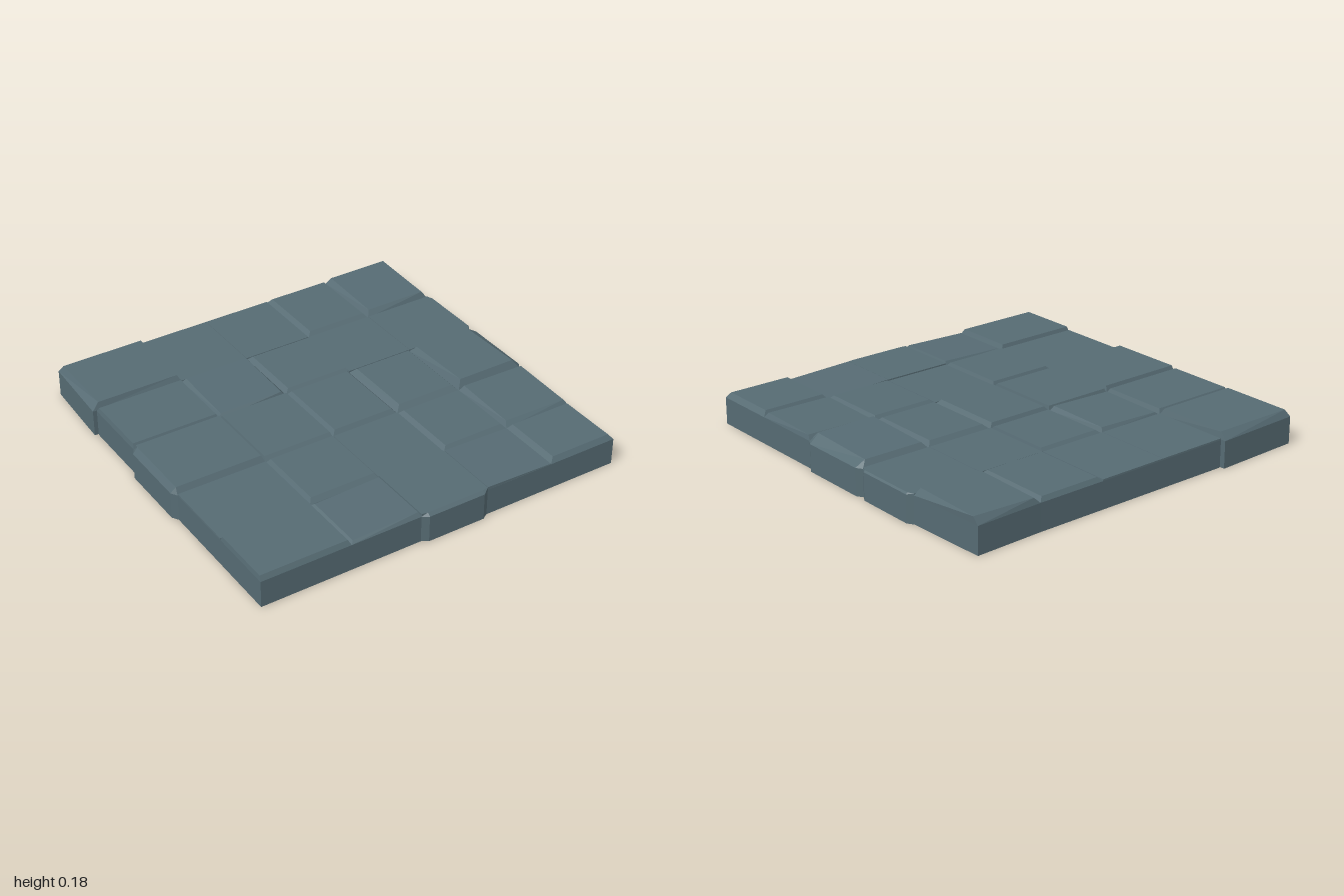
import * as THREE from 'three';

const SHOULDER = 0.14;
const xs = [-0.98, -0.51, -0.135, 0.235, 0.602, 0.977];
const zs = [-0.975, -0.562, -0.183, 0.243, 0.63, 0.975];

// Joins stacked rings of [x, y, z] points into a closed flat-shaded solid
function loft(rings) {
  const pos = [];
  const tri = (a, b, c) => pos.push(...a, ...b, ...c);
  const n = rings[0].length;
  for (let k = 0; k + 1 < rings.length; k++) {
    const lo = rings[k], hi = rings[k + 1];
    for (let i = 0; i < n; i++) {
      const j = (i + 1) % n;
      tri(lo[i], lo[j], hi[j]);
      tri(lo[i], hi[j], hi[i]);
    }
  }
  const top = rings[rings.length - 1], low = rings[0];
  for (let i = 1; i + 1 < n; i++) {
    tri(top[0], top[i], top[i + 1]);
    tri(low[0], low[i + 1], low[i]);
  }
  const g = new THREE.BufferGeometry();
  g.setAttribute('position', new THREE.Float32BufferAttribute(pos, 3));
  g.computeVertexNormals();
  return g;
}

// Stone settings: h height, i insets [left, right, back, front],
// sx/sz slope of the top, turn twist of the top, bulge outer side, outline custom corners
const flat = (o = {}) => ({ h: 0.148, i: [0.001, 0.001, 0.001, 0.001], ...o });
const raised = (h, i, o = {}) => ({ h, i, ...o });

const stones = [
  [ // back row
    raised(0.175, [0.02, 0.013, 0.015, 0.02], {
      outline: [[-0.98, -0.98], [-0.998, -0.568], [-0.51, -0.562], [-0.515, -0.998]] }),
    flat(), flat(),
    raised(0.162, [0.025, 0.018, 0.015, 0.025]),
    raised(0.173, [0.025, 0.02, 0.014, 0.022], { turn: 0.025, sx: 0.02,
      outline: [[0.602, -0.975], [0.602, -0.562], [0.977, -0.562], [0.96, -0.985]] }),
  ],
  [
    raised(0.165, [0.006, 0.013, 0.016, 0.014]),
    raised(0.16, [0.018, 0.018, 0.014, 0.014], { turn: 0.025, sx: 0.02 }),
    raised(0.16, [0.025, 0.006, 0.02, 0.022]),
    flat(),
    flat({ i: [0.001, -0.012, 0.001, 0.001], bulge: 'right' }),
  ],
  [ // middle row
    raised(0.172, [0.004, 0.012, 0.015, 0.022], { bulge: 'left' }),
    raised(0.162, [0.006, 0.006, 0.01, 0.022]),
    raised(0.164, [0.022, 0.022, 0.016, 0.022]),
    raised(0.166, [0.03, 0.024, 0.026, 0.03]),
    raised(0.177, [0.026, 0.03, 0.026, 0.026], { sz: 0.035, bulge: 'right' }),
  ],
  [
    flat(),
    raised(0.162, [0.018, 0.012, 0.014, 0.022]),
    flat(),
    raised(0.162, [0.023, 0.019, 0.022, 0.022]),
    raised(0.165, [0.02, 0.012, 0.014, 0.022], { turn: 0.025 }),
  ],
  [ // front row
    raised(0.165, [0.004, 0.013, 0.012, 0.014]),
    raised(0.155, [0.015, 0.01, 0.016, 0.016], { sx: 0.03 }),
    flat({ h: 0.154, i: [0.001, 0.001, 0.001, -0.004], bulge: 'front' }),
    flat({ h: 0.149, sx: -0.03 }),
    raised(0.166, [0.022, 0.022, 0.018, 0.018]),
  ],
];

function stoneGeometry(s, x0, x1, z0, z1) {
  const out = 0.02, c = 0.032;
  const p = s.outline ? [...s.outline] : [[x0, z0], [x0, z1], [x1, z1], [x1, z0]];
  // chamfered swelling on the slab's edge
  if (s.bulge === 'left') p.splice(1, 0, [x0 - out, z0 + c], [x0 - out, z1 - c]);
  if (s.bulge === 'front') p.splice(2, 0, [x0 + c, z1 + out], [x1 - c, z1 + out]);
  if (s.bulge === 'right') p.splice(3, 0, [x1 + out, z1 - c], [x1 + out, z0 + c]);
  const [l, r, b, f] = s.i;
  const cx = (x0 + x1) / 2, cz = (z0 + z1) / 2;
  const t = s.turn || 0;
  const top = p.map(([px, pz]) => {
    const dx = THREE.MathUtils.clamp(px, x0 + l, x1 - r) - cx;
    const dz = THREE.MathUtils.clamp(pz, z0 + b, z1 - f) - cz;
    return [cx + dx - t * dz, s.h + (s.sx || 0) * dx + (s.sz || 0) * dz, cz + dz + t * dx];
  });
  return loft([p.map(([x, z]) => [x, 0, z]), p.map(([x, z]) => [x, SHOULDER, z]), top]);
}

export function createModel() {
  const group = new THREE.Group();
  group.name = 'stoneFloorSlab';
  const slate = new THREE.MeshStandardMaterial({ color: 0x566b73, flatShading: true });
  slate.name = 'slate';
  stones.forEach((row, j) => row.forEach((s, i) => {
    const m = new THREE.Mesh(stoneGeometry(s, xs[i], xs[i + 1], zs[j], zs[j + 1]), slate);
    m.name = `pavingStoneRow${j + 1}Column${i + 1}`;
    group.add(m);
  }));
  return group;
}
